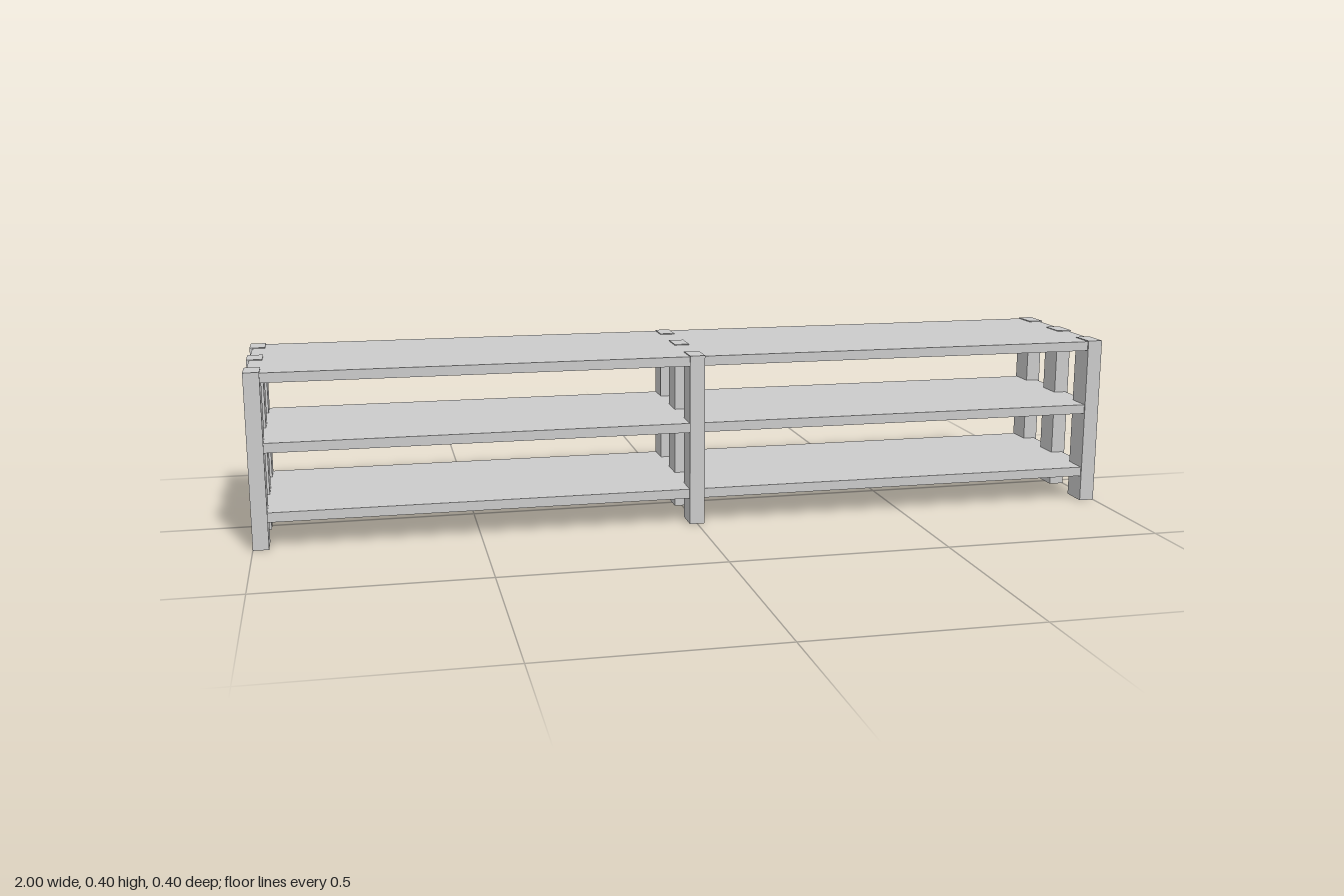
import * as THREE from 'three';

export function createModel() {
  const group = new THREE.Group();
  const material = new THREE.MeshStandardMaterial({ color: 0xcccccc, flatShading: true });

  const addBox = (name, size, position) => {
    const mesh = new THREE.Mesh(new THREE.BoxGeometry(...size), material);
    mesh.name = name;
    mesh.position.set(...position);
    group.add(mesh);
  };

  // Three rows of three upright posts
  const postHeight = 0.396;
  for (const x of [-0.9825, 0, 0.9825]) {
    for (const z of [-0.165, 0, 0.165]) {
      addBox('post', [0.035, postHeight, 0.065], [x, postHeight / 2, z]);
    }
  }

  // Three full-length shelves, set just inside the outer post faces
  for (const [name, y] of [['bottomShelf', 0.072], ['middleShelf', 0.228], ['topShelf', 0.383]]) {
    addBox(name, [1.988, 0.022, 0.388], [0, y, 0]);
  }

  return group;
}
